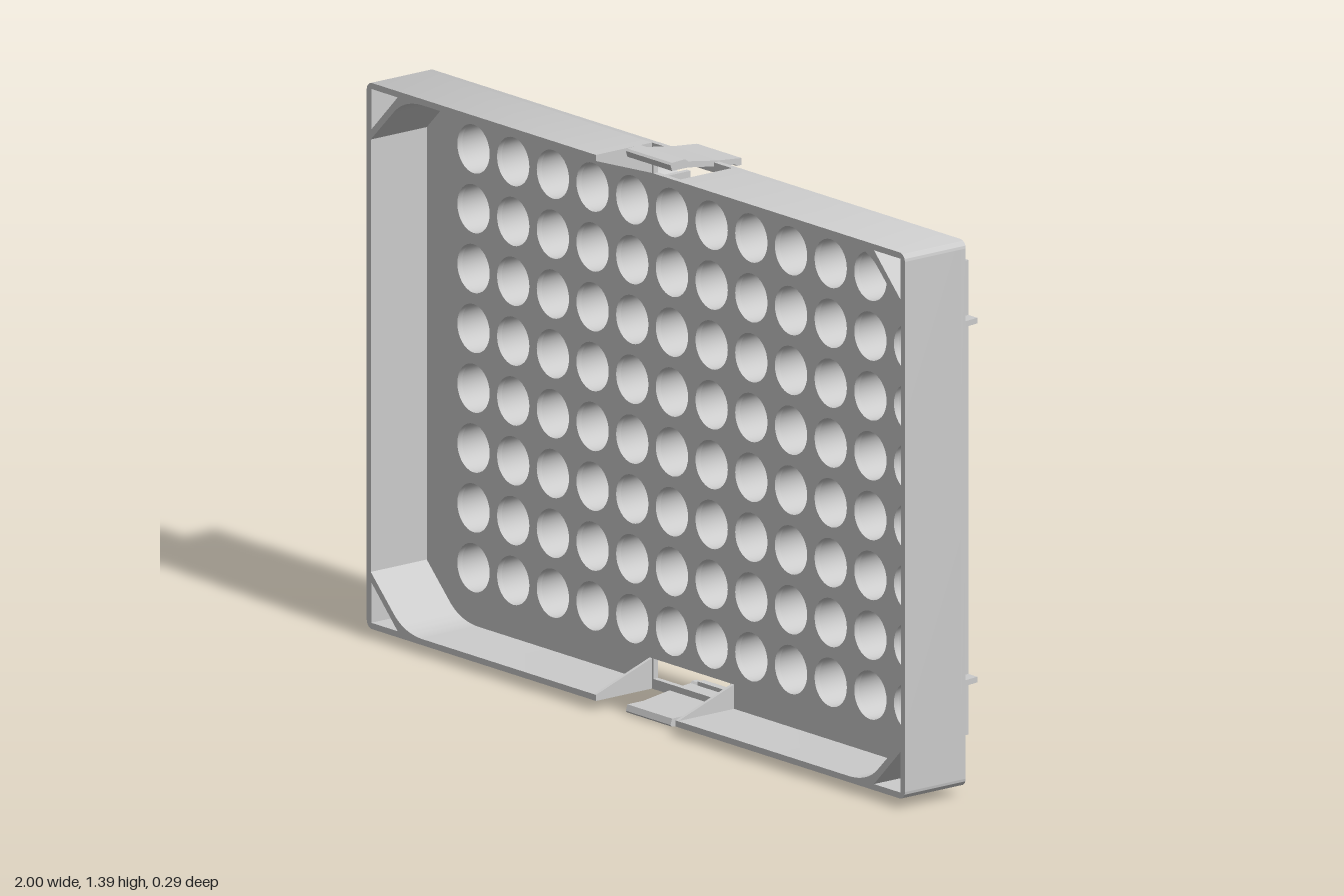
import * as THREE from 'three';
import { toCreasedNormals } from 'three/addons/utils/BufferGeometryUtils.js';

const W = 1, H = 0.673;            // half width and half height of the tray
const MID = 0.697;                 // height of the tray's centre
const BACK = -0.143, PLATE = -0.045, FLOOR = -0.03, RIM = 0.143;
const COLS = 12, ROWS = 8, PITCH = 0.1475, BORE = 0.06;
const WALL = 0.015, R = 0.02, NOTCH = 0.148;

const material = new THREE.MeshStandardMaterial({ color: 0xcccccc });

function add(parent, name, geometry) {
  const mesh = new THREE.Mesh(geometry, material);
  mesh.name = name;
  parent.add(mesh);
  return mesh;
}

const polygon = (pts) => new THREE.Shape(pts.map(([x, y]) => new THREE.Vector2(x, y)));
const circle = (x, y, r) => new THREE.Path().absarc(x, y, r, 0, Math.PI * 2, true);

// Extrude a shape drawn in x, y from z0 to z1
function slab(shape, z0, z1) {
  const g = new THREE.ExtrudeGeometry(shape, { depth: z1 - z0, bevelEnabled: false, curveSegments: 16 });
  return toCreasedNormals(g.translate(0, 0, z0), 0.6);
}

// Extrude a profile drawn in z, y across x, centred on x
function acrossX(pts, width, x = 0) {
  const g = new THREE.ExtrudeGeometry(polygon(pts), { depth: width, bevelEnabled: false });
  return g.rotateY(-Math.PI / 2).translate(x + width / 2, 0, 0);
}

// Extrude a profile drawn in x, z along y, centred on y
function alongY(pts, height, y) {
  const g = new THREE.ExtrudeGeometry(polygon(pts), { depth: height, bevelEnabled: false });
  return g.rotateX(Math.PI / 2).translate(0, y + height / 2, 0);
}

const wellX = (c) => (c - (COLS - 1) / 2) * PITCH;
const wellY = (r) => (r - (ROWS - 1) / 2) * PITCH;

function plateShape() {
  const s = new THREE.Shape();
  s.absarc(W - R, H - R, R, 0, Math.PI / 2);
  s.absarc(-W + R, H - R, R, Math.PI / 2, Math.PI);
  s.absarc(-W + R, -H + R, R, Math.PI, Math.PI * 1.5);
  s.absarc(W - R, -H + R, R, Math.PI * 1.5, Math.PI * 2);
  for (let c = 0; c < COLS; c++)
    for (let r = 0; r < ROWS; r++) s.holes.push(circle(wellX(c), wellY(r), BORE));
  // Slots under the two clips
  for (const k of [-1, 1])
    s.holes.push(polygon([[-0.143, k * 0.598], [0.143, k * 0.598], [0.143, k * 0.648], [-0.143, k * 0.648]]));
  return s;
}

// One half of the rim wall, with braced corners and triangular pockets
function halfWallShape() {
  const x = W - WALL, y = H - WALL;
  const s = new THREE.Shape();
  s.moveTo(NOTCH, -H);
  s.lineTo(W - R, -H);
  s.absarc(W - R, -H + R, R, -Math.PI / 2, 0);
  s.absarc(W - R, H - R, R, 0, Math.PI / 2);
  s.lineTo(NOTCH, H);
  s.lineTo(NOTCH, y);
  s.lineTo(0.79, y);
  s.quadraticCurveTo(0.86, y, 0.9, 0.618);
  s.lineTo(x, 0.533);
  s.lineTo(x, -0.533);
  s.lineTo(0.9, -0.618);
  s.quadraticCurveTo(0.86, -y, 0.79, -y);
  s.lineTo(NOTCH, -y);
  s.closePath();
  for (const k of [-1, 1])
    s.holes.push(polygon([[x - 0.002, k * 0.558], [x - 0.002, k * y], [0.885, k * y]]));
  return s;
}

export function createModel() {
  const model = new THREE.Group();
  model.name = 'wellRack';
  const rack = new THREE.Group();
  rack.name = 'rack';
  rack.position.y = MID;
  model.add(rack);

  add(rack, 'perforatedPlate', slab(plateShape(), PLATE, FLOOR));

  // Rim walls: the second half is the first turned around
  const wall = slab(halfWallShape(), FLOOR, RIM);
  add(rack, 'leftRimWall', wall);
  add(rack, 'rightRimWall', wall).rotation.z = Math.PI;

  // Well tubes behind the plate
  const ring = new THREE.Shape().absarc(0, 0, 0.067, 0, Math.PI * 2);
  ring.holes.push(circle(0, 0, BORE));
  const tube = slab(ring, BACK, PLATE);
  const wells = new THREE.Group();
  wells.name = 'wellTubes';
  rack.add(wells);
  for (let c = 0; c < COLS; c++)
    for (let r = 0; r < ROWS; r++) add(wells, 'wellTube', tube).position.set(wellX(c), wellY(r), 0);

  // Grid of ribs between the tubes; two cross ribs end in tapered side tabs
  const ribs = new THREE.Group();
  ribs.name = 'ribGrid';
  rack.add(ribs);
  const depth = PLATE - BACK, zMid = (PLATE + BACK) / 2, thick = 0.014;
  const upright = new THREE.BoxGeometry(thick, 1.17, depth);
  for (let c = 0; c <= COLS; c++) add(ribs, 'uprightRib', upright).position.set(wellX(c - 0.5), 0, zMid);
  for (let r = 1; r < ROWS; r++) {
    const tabbed = r === 1 || r === ROWS - 1;
    const a = tabbed ? 0.94 : 0.885, b = tabbed ? 0.925 : 0.885;
    add(ribs, tabbed ? 'tabbedCrossRib' : 'crossRib',
      alongY([[-a, PLATE], [a, PLATE], [b, BACK], [-b, BACK]], thick, wellY(r - 0.5)));
  }

  // Spring clips and notch gussets, top and bottom
  const clipProfile = [[0.105, 0.69], [0.1, 0.695], [0.06, 0.697], [0.05, 0.69], [-0.04, 0.676], [-0.115, 0.669],
    [-0.115, 0.652], [-0.1, 0.652], [-0.095, 0.657], [-0.04, 0.662], [0.05, 0.675], [0.1, 0.675]];
  const clip = acrossX(clipProfile, 0.166);
  const lip = new THREE.BoxGeometry(0.11, 0.012, 0.02).translate(0, 0.653, -0.104);
  const gussetProfile = [[RIM, H - WALL], [FLOOR, 0.598], [FLOOR, H - WALL]];
  for (const [name, turn] of [['top', 0], ['bottom', Math.PI]]) {
    const side = new THREE.Group();
    side.name = name + 'Clip';
    side.rotation.z = turn;
    rack.add(side);
    add(side, 'clipTongue', clip);
    add(side, 'clipLip', lip);
    for (const k of [-1, 1]) add(side, 'notchGusset', acrossX(gussetProfile, 0.009, k * (NOTCH + 0.0045)));
  }
  return model;
}
